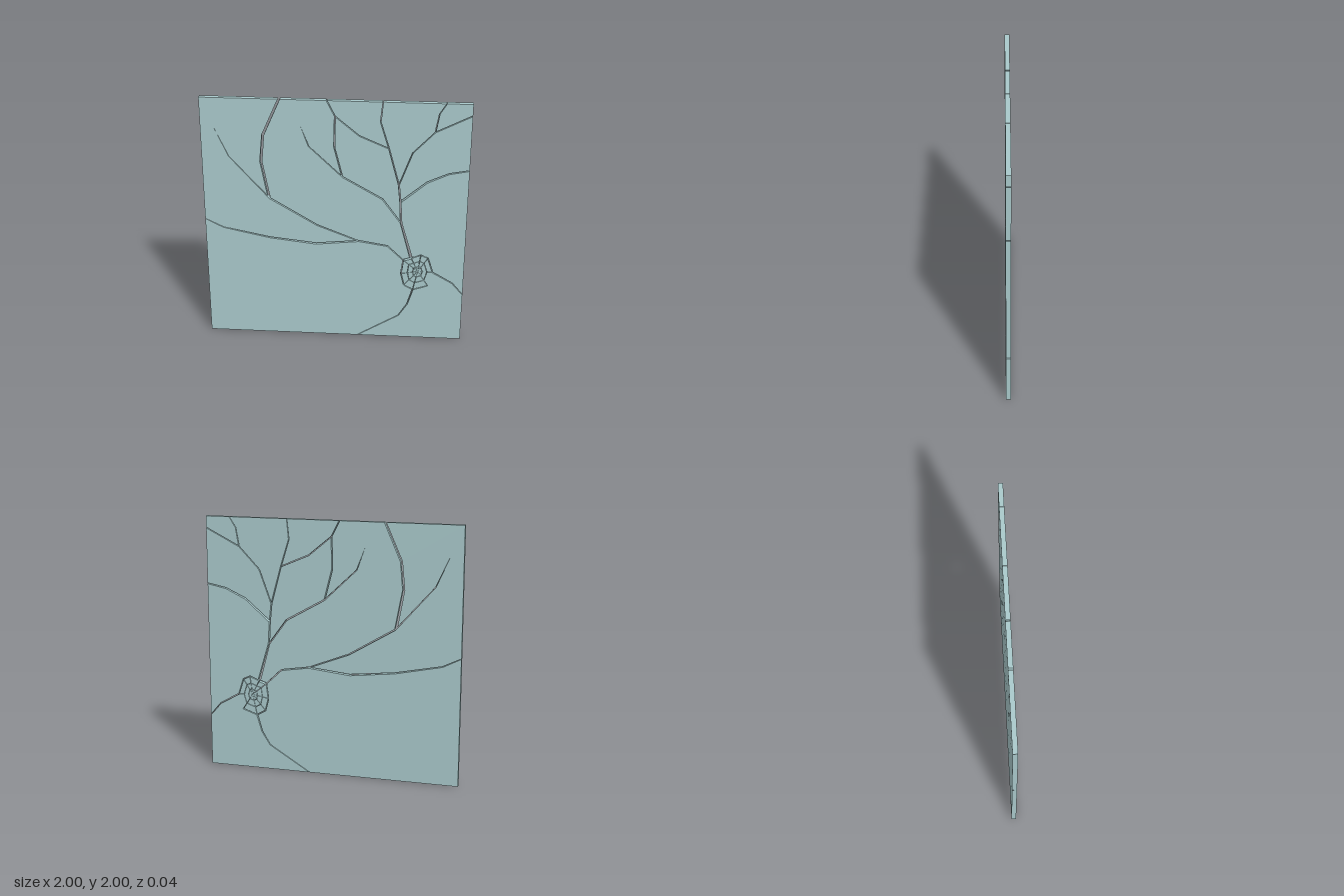
import * as THREE from 'three';

const DEPTH = 0.037;

// A crack is a polyline of [x, y, gap], its gap changing evenly from end to end
const crack = (gap0, gap1, points) => points.map(([x, y], i) =>
  [x, y, THREE.MathUtils.lerp(gap0, gap1, i / (points.length - 1))]);

const cracks = [
  // main crack rising from the impact to the top edge
  crack(0.02, 0.012, [[0.59, 0.72], [0.505, 1.02]]),
  crack(0.011, 0.004, [[0.505, 1.02], [0.495, 1.2], [0.48, 1.34], [0.4, 1.635], [0.335, 1.845], [0.35, 2]]),
  // branches to the right edge and top right corner
  crack(0.013, 0.007, [[0.495, 1.2], [0.69, 1.37], [0.85, 1.445], [1, 1.475]]),
  crack(0.006, 0.006, [[0.48, 1.34], [0.575, 1.605], [0.735, 1.775], [1, 1.91]]),
  crack(0.006, 0.004, [[0.735, 1.775], [0.76, 1.92], [0.81, 2]]),
  // branches towards the top
  crack(0.006, 0.007, [[0.4, 1.635], [0.18, 1.73], [0, 1.88], [-0.06, 2]]),
  crack(0.009, 0.008, [[0.505, 1.02], [0.36, 1.22], [0.055, 1.395], [-0.005, 1.635], [0, 1.88]]),
  crack(0.006, 0.004, [[0.055, 1.395], [-0.195, 1.635], [-0.26, 1.81]]),
  // cracks running left
  crack(0.006, 0.012, [[0.53, 0.7], [0.405, 0.82], [0.185, 0.855], [-0.145, 0.82]]),
  crack(0.012, 0.003, [[-0.145, 0.82], [-0.5, 0.86], [-0.86, 0.935], [-1, 1.005]]),
  crack(0.006, 0.01, [[0.185, 0.855], [-0.135, 0.98], [-0.5, 1.2]]),
  crack(0.018, 0.014, [[-0.5, 1.2], [-0.555, 1.5], [-0.535, 1.715], [-0.41, 2]]),
  crack(0.006, 0.001, [[-0.5, 1.2], [-0.795, 1.535], [-0.91, 1.79]]),
  // short cracks to the right and bottom edges
  crack(0.008, 0.005, [[0.76, 0.6], [0.915, 0.51], [1, 0.41]]),
  crack(0.009, 0.004, [[0.61, 0.44], [0.57, 0.305], [0.505, 0.2], [0.18, 0]]),
];

// Spider web of fine cracks around the impact point
const hub = [0.645, 0.605];
const rim = [[0.76, 0.6], [0.72, 0.725], [0.665, 0.75], [0.59, 0.72], [0.53, 0.7],
  [0.515, 0.58], [0.54, 0.48], [0.61, 0.44], [0.725, 0.48]];
const ringPoint = (i, s) => {
  const p = rim[i % rim.length];
  return [hub[0] + (p[0] - hub[0]) * s, hub[1] + (p[1] - hub[1]) * s];
};
rim.forEach((_, i) => {
  const rimGap = i === 3 ? 0.016 : 0.006;
  if (i < rim.length - 1) cracks.push(crack(rimGap, rimGap, [ringPoint(i, 1), ringPoint(i + 1, 1)]));
  for (const s of [0.62, 0.3]) cracks.push(crack(0.003, 0.003, [ringPoint(i, s), ringPoint(i + 1, s)]));
  cracks.push(crack(0.004, 0.001, [ringPoint(i, 1), ringPoint(i, 0.62), ringPoint(i, 0.3), hub]));
});

// Pane border, split wherever a crack reaches it
function paneBorder() {
  const points = [[-1, 0], [1, 0], [1, 2], [-1, 2]];
  for (const c of cracks) {
    const [x, y] = c[c.length - 1];
    if (Math.abs(x) === 1 || y === 0 || y === 2) points.push([x, y]);
  }
  points.sort((a, b) => Math.atan2(a[1] - 1, a[0]) - Math.atan2(b[1] - 1, b[0]));
  return crack(0, 0, [...points, points[0]]);
}

// Planar network of directed edges, grouped by their start node
function buildNetwork() {
  const nodes = new Map();
  const key = (p) => `${Math.round(p[0] * 1e4)},${Math.round(p[1] * 1e4)}`;
  const addEdge = (a, b) => {
    const dir = new THREE.Vector2(b[0] - a[0], b[1] - a[1]).normalize();
    const edge = { start: a, to: key(b), dir, angle: Math.atan2(dir.y, dir.x), h0: a[2] / 2, h1: b[2] / 2 };
    if (!nodes.has(key(a))) nodes.set(key(a), []);
    nodes.get(key(a)).push(edge);
    return edge;
  };
  for (const line of [paneBorder(), ...cracks]) {
    for (let i = 0; i < line.length - 1; i++) {
      const e = addEdge(line[i], line[i + 1]);
      e.twin = addEdge(line[i + 1], line[i]);
      e.twin.twin = e;
    }
  }
  for (const list of nodes.values()) list.sort((a, b) => a.angle - b.angle);
  return nodes;
}

// Corner of a shard, pulled back from the cracks on both sides
function shardCorner(e, f) {
  const p = new THREE.Vector2(f.start[0], f.start[1]);
  if (f === e.twin) return p; // tip of a dead-end crack
  const cross = e.dir.cross(f.dir);
  if (Math.abs(cross) < 0.15 && e.dir.dot(f.dir) > 0) {
    const inward = new THREE.Vector2(-e.dir.y - f.dir.y, e.dir.x + f.dir.x).normalize();
    return p.addScaledVector(inward, (e.h1 + f.h0) / 2);
  }
  return p.addScaledVector(f.dir, e.h1 / cross).addScaledVector(e.dir, -f.h0 / cross);
}

// Walk round every face of the network to get the shard outlines
function shardOutlines() {
  const nodes = buildNetwork();
  const seen = new Set();
  const outlines = [];
  for (const list of nodes.values()) for (const first of list) {
    if (seen.has(first)) continue;
    const outline = [];
    let e = first;
    do {
      seen.add(e);
      const around = nodes.get(e.to);
      const next = around[(around.indexOf(e.twin) + around.length - 1) % around.length];
      outline.push(shardCorner(e, next));
      e = next;
    } while (e !== first);
    if (THREE.ShapeUtils.area(outline) > 0) outlines.push(outline);
  }
  return outlines;
}

export function createModel() {
  const group = new THREE.Group();
  group.name = 'crackedPane';
  const glass = new THREE.MeshStandardMaterial({ color: 0xa9c9cb });
  shardOutlines().forEach((outline, i) => {
    const geometry = new THREE.ExtrudeGeometry(new THREE.Shape(outline), { depth: DEPTH, bevelEnabled: false });
    geometry.translate(0, 0, -DEPTH / 2);
    const shard = new THREE.Mesh(geometry, glass);
    shard.name = `glassShard${i + 1}`;
    group.add(shard);
  });
  return group;
}
